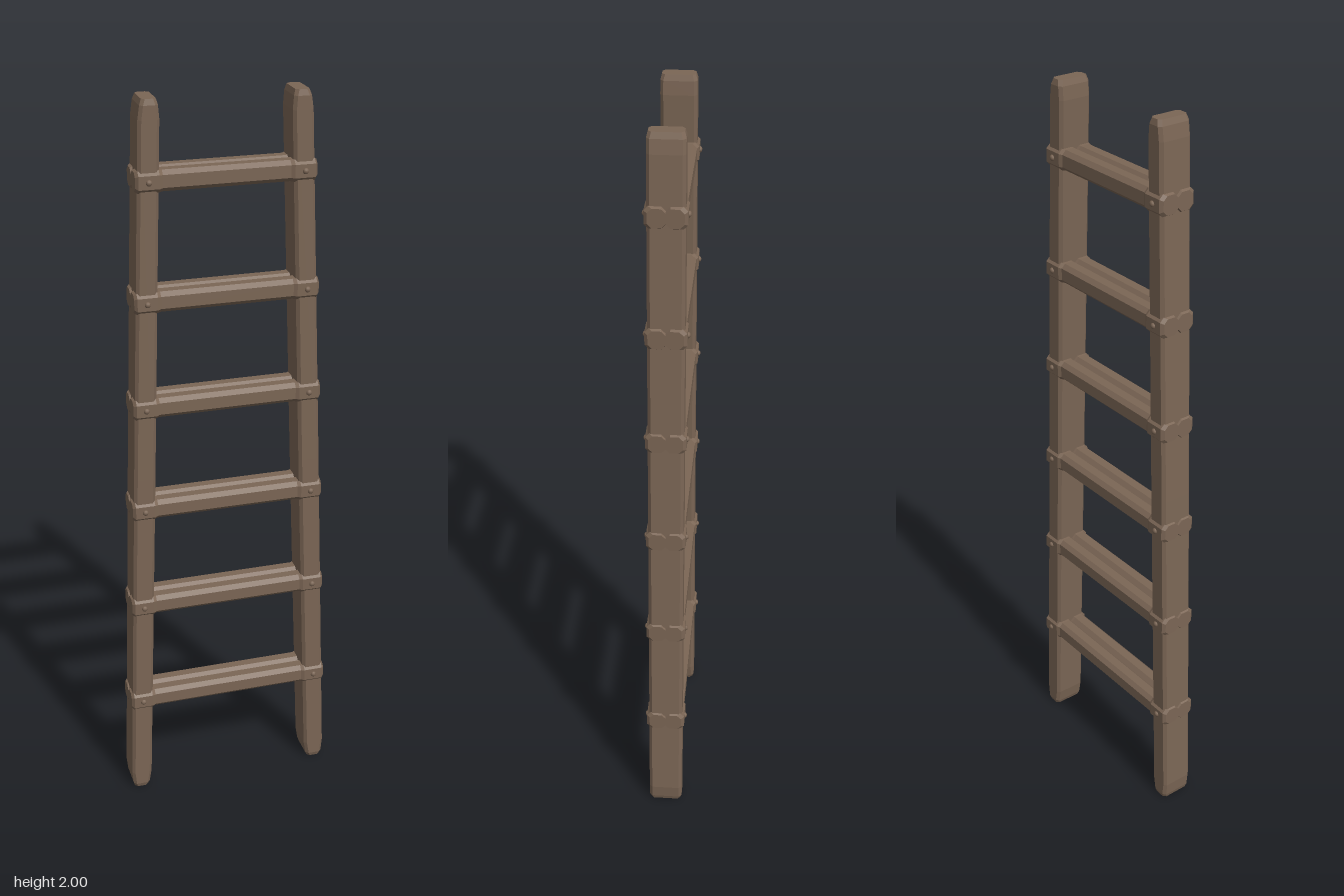
import * as THREE from 'three';

// Lofts a chamfered rectangle through rings [height, centreX, centreZ, halfX, halfZ, chamfer].
function loft(rings) {
  const pts = rings.map(([y, cx, cz, hx, hz, c]) => [
    [hx, hz - c], [hx - c, hz], [c - hx, hz], [-hx, hz - c],
    [-hx, c - hz], [c - hx, -hz], [hx - c, -hz], [hx, c - hz],
  ].map(([x, z]) => [cx + x, y, cz + z]));
  const pos = [];
  const tri = (a, b, c) => pos.push(...a, ...b, ...c);
  for (let i = 0; i < pts.length - 1; i++) {
    for (let j = 0; j < 8; j++) {
      const k = (j + 1) % 8;
      const a = pts[i][j], b = pts[i][k], c = pts[i + 1][k], d = pts[i + 1][j];
      tri(a, c, b);
      tri(a, d, c);
    }
  }
  const first = pts[0], last = pts[pts.length - 1];
  for (let j = 1; j < 7; j++) {
    tri(first[0], first[j], first[j + 1]);
    tri(last[0], last[j + 1], last[j]);
  }
  // The section runs clockwise seen from above, so reverse every triangle if needed
  const g = new THREE.BufferGeometry();
  g.setAttribute('position', new THREE.Float32BufferAttribute(pos, 3));
  orientOutward(g);
  g.computeVertexNormals();
  return g;
}

// Makes the winding outward by checking the sign of the enclosed volume.
function orientOutward(g) {
  const p = g.attributes.position;
  const a = new THREE.Vector3(), b = new THREE.Vector3(), c = new THREE.Vector3();
  let volume = 0;
  for (let i = 0; i < p.count; i += 3) {
    a.fromBufferAttribute(p, i);
    b.fromBufferAttribute(p, i + 1);
    c.fromBufferAttribute(p, i + 2);
    volume += a.dot(b.cross(c));
  }
  if (volume > 0) return;
  for (let i = 0; i < p.count; i += 3) {
    b.fromBufferAttribute(p, i + 1);
    c.fromBufferAttribute(p, i + 2);
    p.setXYZ(i + 1, c.x, c.y, c.z);
    p.setXYZ(i + 2, b.x, b.y, b.z);
  }
}

export function createModel() {
  const ladder = new THREE.Group();
  ladder.name = 'ladder';
  const wood = new THREE.MeshStandardMaterial({ color: 0x7b6655 });
  wood.name = 'brown wood';

  const add = (name, geometry, parent = ladder) => {
    const mesh = new THREE.Mesh(geometry, wood);
    mesh.name = name;
    parent.add(mesh);
    return mesh;
  };

  // Rail centre lines lean towards each other at the top
  const leftX = (y) => 0.265 - 0.04 * y;
  const rightX = (y) => -0.266 + 0.033 * y;

  // Side rails with tapered ends
  for (const [name, centre] of [['leftRail', leftX], ['rightRail', rightX]]) {
    const ring = (y, hx, hz) => [y, centre(y), 0, hx, hz, 0.008];
    add(name, loft([
      ring(0, 0.02, 0.042), ring(0.012, 0.024, 0.046), ring(0.05, 0.029, 0.046),
      ring(1.0, 0.029, 0.046),
      ring(1.95, 0.027, 0.046), ring(1.985, 0.023, 0.046), ring(2, 0.018, 0.042),
    ]));
  }

  // Rungs: paired front and back bars lapped over the rails and pinned
  [0.3, 0.608, 0.905, 1.2, 1.49, 1.8].forEach((y, i) => {
    const rung = new THREE.Group();
    rung.name = `rung${i + 1}`;
    rung.position.y = y;
    ladder.add(rung);
    const l = leftX(y), r = rightX(y);
    for (const side of [1, -1]) {
      const ring = (x, h, outer) =>
        [x, 0, side * outer / 2, h, outer / 2, 0.011];
      const bar = loft([
        ring(r - 0.033, 0.024, 0.044), ring(r - 0.026, 0.028, 0.052),
        ring(r + 0.027, 0.028, 0.052), ring(r + 0.036, 0.027, 0.047),
        ring(l - 0.036, 0.027, 0.047), ring(l - 0.027, 0.028, 0.052),
        ring(l + 0.026, 0.028, 0.052), ring(l + 0.033, 0.024, 0.044),
      ]);
      bar.rotateZ(-Math.PI / 2);
      add(side > 0 ? 'frontBar' : 'backBar', bar, rung);

      // Peg heads
      for (const x of [l, r]) {
        const peg = add('peg', new THREE.SphereGeometry(0.008, 10, 6), rung);
        peg.scale.z = 0.8;
        peg.position.set(x, 0, side * 0.052);
      }
    }
  });

  return ladder;
}
